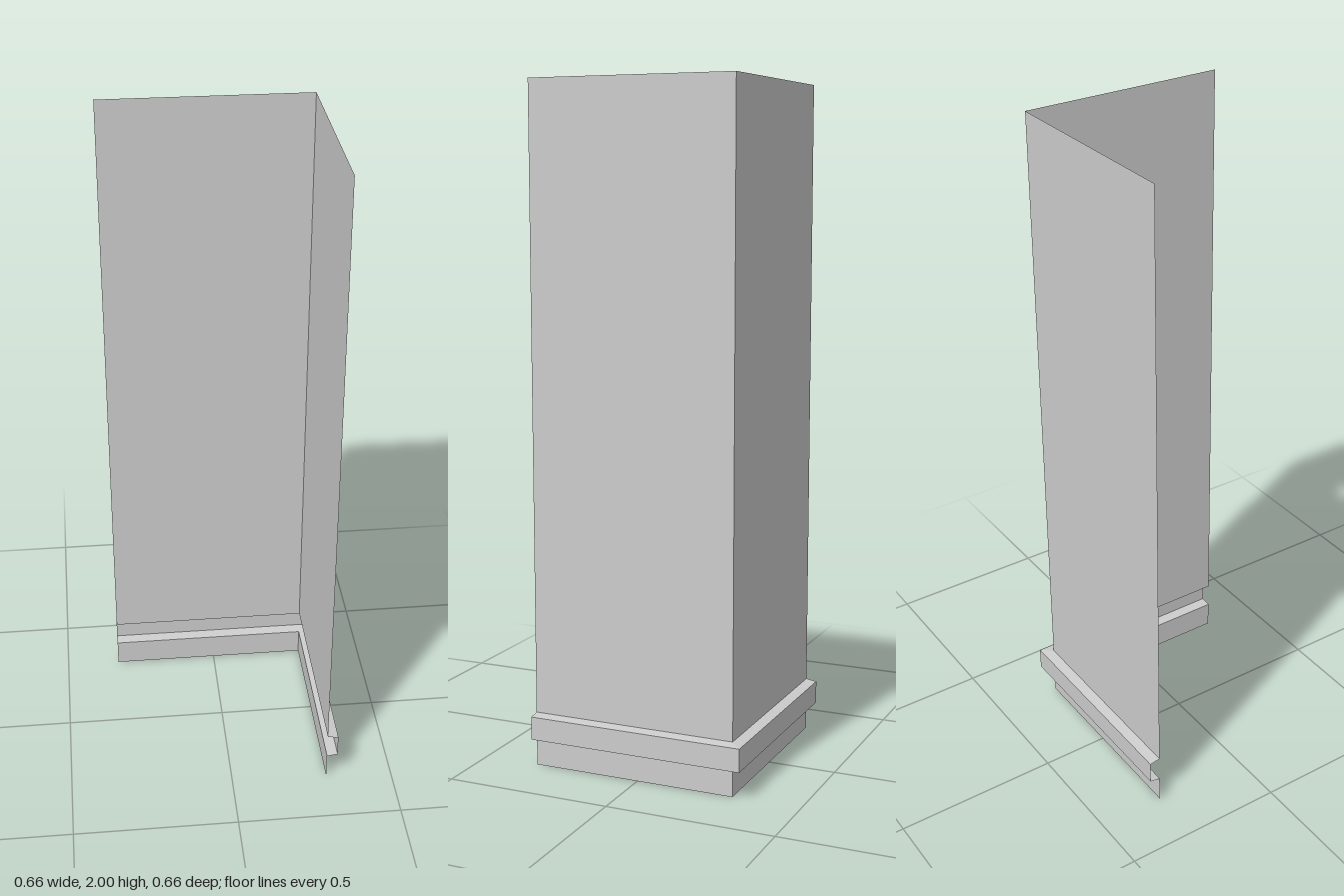
import * as THREE from 'three';

const END = 0.329;    // where both walls stop
const WALL = 0.296;   // distance of the wall sheets from the centre
const BAND = 0.329;   // distance of the raised band from the centre

// Thin sheet bent around the corner, following a profile of [offset, height]
function cornerSheet(name, profile, material) {
  const pos = [];
  const quad = (a, b, c, d) => pos.push(...a, ...b, ...c, ...a, ...c, ...d);
  // Plan path at a given offset: back wall end, mitred corner, side wall end
  const path = ([p, y]) => [[-END, y, -p], [p, y, -p], [p, y, END]];
  for (let i = 0; i < profile.length - 1; i++) {
    const low = path(profile[i]);
    const high = path(profile[i + 1]);
    for (let j = 0; j < 2; j++) quad(low[j + 1], low[j], high[j], high[j + 1]);
  }
  const geometry = new THREE.BufferGeometry();
  geometry.setAttribute('position', new THREE.Float32BufferAttribute(pos, 3));
  geometry.computeVertexNormals();
  const mesh = new THREE.Mesh(geometry, material);
  mesh.name = name;
  return mesh;
}

export function createModel() {
  const group = new THREE.Group();
  group.name = 'cornerWall';
  const material = new THREE.MeshStandardMaterial({
    color: 0xcccccc, flatShading: true, side: THREE.DoubleSide,
  });

  // Plinth strip at the foot, hollow raised band, then the tall wall
  group.add(
    cornerSheet('plinth', [[WALL, 0], [WALL, 0.083]], material),
    cornerSheet('skirtingBand', [[WALL, 0.083], [BAND, 0.088], [BAND, 0.157], [WALL, 0.162]], material),
    cornerSheet('wall', [[WALL, 0.162], [WALL, 2]], material),
  );
  return group;
}
